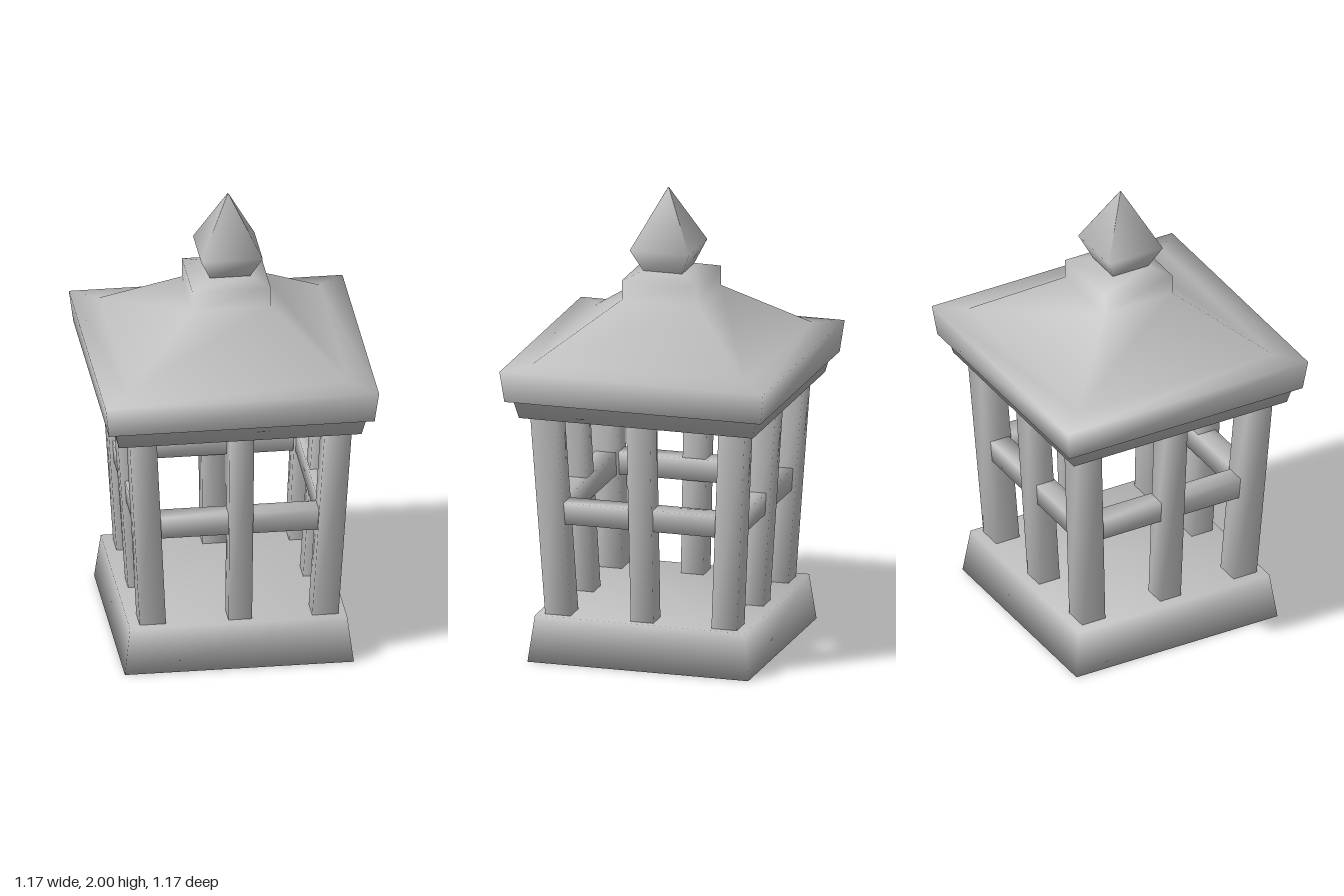
import * as THREE from 'three';

// Smooth square loft. Each ring is [y, halfX, halfZ, centreX, centreZ].
function squareLoft(rings, capBottom = true, capTop = true) {
  const pos = [], idx = [];
  for (const [y, hx, hz, cx = 0, cz = 0] of rings) {
    for (const [sx, sz] of [[-1, 1], [1, 1], [1, -1], [-1, -1]]) {
      pos.push(cx + sx * hx, y, cz + sz * hz);
    }
  }
  for (let r = 0; r < rings.length - 1; r++) {
    for (let i = 0; i < 4; i++) {
      const a = r * 4 + i, b = r * 4 + (i + 1) % 4;
      idx.push(a, b, b + 4, a, b + 4, a + 4);
    }
  }
  const t = (rings.length - 1) * 4;
  if (capBottom) idx.push(0, 2, 1, 0, 3, 2);
  if (capTop) idx.push(t, t + 1, t + 2, t, t + 2, t + 3);
  const g = new THREE.BufferGeometry();
  g.setAttribute('position', new THREE.Float32BufferAttribute(pos, 3));
  g.setIndex(idx);
  g.computeVertexNormals();
  return g;
}

export function createModel() {
  const model = new THREE.Group();
  model.name = 'gardenLantern';
  const stone = new THREE.MeshStandardMaterial({ color: 0xbfbfbf });
  stone.name = 'grey stone';

  const add = (name, geometry, parent = model) => {
    const mesh = new THREE.Mesh(geometry, stone);
    mesh.name = name;
    parent.add(mesh);
    return mesh;
  };

  // Base slab, tapering upwards
  add('base', squareLoft([[0, 0.488, 0.488], [0.2, 0.463, 0.463]]));

  // Cage of posts leaning outwards, joined by rails
  const cage = new THREE.Group();
  cage.name = 'cage';
  cage.position.set(0.007, 0, 0.004);
  model.add(cage);

  for (const [sx, sz] of [[-1, 1], [1, 1], [1, -1], [-1, -1]]) {
    add('cornerPost', squareLoft([
      [0.19, 0.056, 0.056, sx * 0.367, sz * 0.367],
      [1.1, 0.058, 0.058, sx * 0.417, sz * 0.417],
    ]), cage);
  }

  for (let i = 0; i < 4; i++) {
    const side = new THREE.Group();
    side.name = 'cageSide';
    side.rotation.y = i * Math.PI / 2;
    cage.add(side);
    add('middlePost', squareLoft([
      [0.19, 0.05, 0.05, 0.005, 0.373],
      [1.1, 0.052, 0.052, 0.005, 0.43],
    ]), side);
    add('rail', squareLoft([
      [0.605, 0.355, 0.045, 0, 0.387],
      [0.7, 0.355, 0.045, 0, 0.392],
    ]), side);
  }

  // Roof: trim under the eaves, eaves, hipped slope and collar
  add('roof', squareLoft([
    [1.08, 0.517, 0.517],
    [1.155, 0.535, 0.535],
    [1.16, 0.566, 0.566],
    [1.295, 0.583, 0.583],
    [1.31, 0.47, 0.47],
    [1.535, 0.167, 0.167, 0.01, 0],
    [1.62, 0.167, 0.167, 0.01, 0],
    [1.648, 0.085, 0.085, 0.013, 0.01],
  ], true, false));

  // Pointed finial
  add('finial', squareLoft([
    [1.645, 0.085, 0.085, 0.013, 0.01],
    [1.745, 0.131, 0.131, 0.015, 0.011],
    [2, 0.001, 0.001, 0.015, 0.011],
  ], false, true));

  return model;
}
